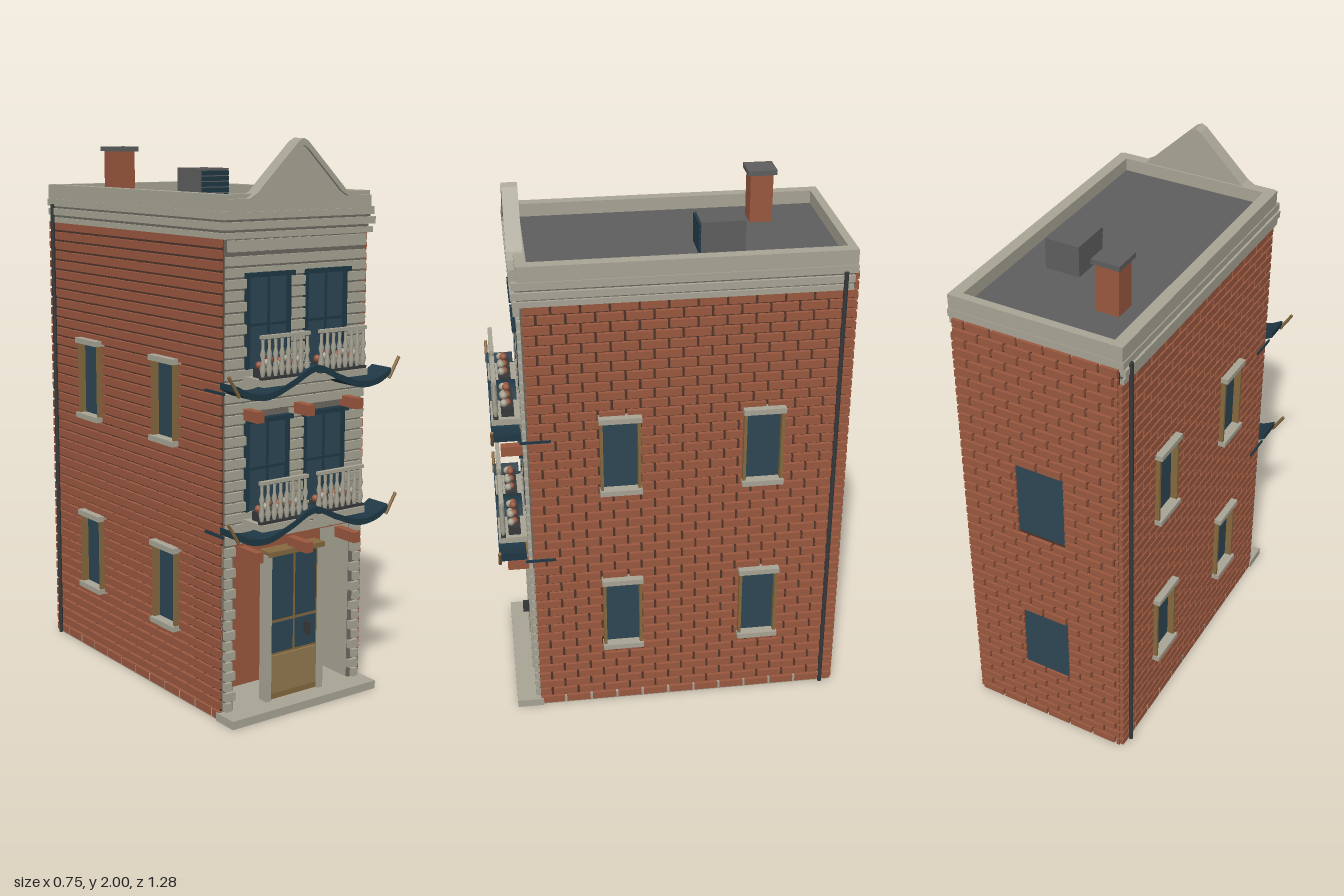
import * as THREE from 'three';
import { mergeGeometries } from 'three/addons/utils/BufferGeometryUtils.js';

const mat = (name, color, extra = {}) => Object.assign(new THREE.MeshStandardMaterial({ color, ...extra }), { name });

export function createModel() {
  const M = {
    brick: mat('brick red', 0x9a583f),
    mortar: mat('dark mortar', 0x4e342a),
    stone: mat('pale stone', 0xa8a495),
    joint: mat('stone joint', 0x6b685f),
    roof: mat('roof grey', 0x5e5e5e),
    navy: mat('navy cloth', 0x1f3845, { side: THREE.DoubleSide }),
    glass: mat('window glass', 0x2d4654),
    wood: mat('wood', 0x86693f),
    panel: mat('light wood', 0x92794f),
    iron: mat('dark iron', 0x36383a),
  };
  const root = new THREE.Group();
  root.name = 'townhouse';

  const boxGeo = (x0, x1, y0, y1, z0, z1) =>
    new THREE.BoxGeometry(x1 - x0, y1 - y0, z1 - z0).translate((x0 + x1) / 2, (y0 + y1) / 2, (z0 + z1) / 2);
  const add = (name, m, geo, parent = root) => {
    const mesh = new THREE.Mesh(geo, m);
    mesh.name = name;
    parent.add(mesh);
    return mesh;
  };
  const box = (name, m, x0, x1, y0, y1, z0, z1, parent) => add(name, m, boxGeo(x0, x1, y0, y1, z0, z1), parent);
  const group = (name) => {
    const g = new THREE.Group();
    g.name = name;
    root.add(g);
    return g;
  };

  // Running-bond bricks facing +z, leaving out holes [u0, u1, v0, v1]
  function bricks(u0, u1, v0, v1, row, len, gap, depth, holes) {
    const out = [];
    const rows = Math.round((v1 - v0) / row), h = (v1 - v0) / rows;
    for (let r = 0; r < rows; r++) {
      const y = v0 + r * h, mid = y + h / 2;
      for (let u = u0 - (r % 2) * len / 2; u < u1; u += len) {
        let spans = [[Math.max(u, u0), Math.min(u + len - gap, u1)]];
        for (const [a, b, c, d] of holes) {
          if (mid < c || mid > d) continue;
          spans = spans.flatMap(([s, e]) => [[s, Math.min(e, a)], [Math.max(s, b), e]]);
        }
        for (const [s, e] of spans) if (e - s > 0.004) out.push(boxGeo(s, e, y + gap / 2, y + h - gap / 2, 0, depth));
      }
    }
    return mergeGeometries(out);
  }

  // Core of the house, with a recessed porch at street level
  box('upperCore', M.mortar, -0.306, 0.306, 0.63, 1.72, -0.626, 0.505);
  box('lowerCore', M.mortar, -0.306, 0.306, 0.02, 0.63, -0.626, 0.34);
  box('porchBackWall', M.brick, -0.264, 0.264, 0.03, 0.63, 0.34, 0.347);
  box('porchCeiling', M.brick, -0.264, 0.264, 0.622, 0.63, 0.34, 0.505);
  box('baseSlab', M.stone, -0.318, 0.318, 0, 0.03, -0.626, 0.515);
  box('frontStep', M.stone, -0.325, 0.325, 0, 0.03, 0.5, 0.6);
  for (const s of [-1, 1]) {
    const x = s * 0.285;
    box('porchSideWall', M.stone, x - 0.022, x + 0.022, 0.03, 0.63, 0.34, 0.505);
    box('porchWallBacking', M.mortar, s * 0.3055 - 0.003, s * 0.3055 + 0.003, 0.02, 0.63, 0.34, 0.505);
  }

  // Brick side and back walls
  const sideZ = [0.188, -0.325], sideY = [[0.265, 0.56], [0.945, 1.24]];
  for (const s of [-1, 1]) {
    const holes = sideZ.flatMap((z) => sideY.map(([a, b]) => [-s * z - 0.072, -s * z + 0.072, a, b]));
    const [a, b] = s > 0 ? [-0.51, 0.632] : [-0.632, 0.51];
    const wall = add('sideBricks', M.brick, bricks(a, b, 0, 1.68, 0.0375, 0.1, 0.009, 0.014, holes));
    wall.rotation.y = s * Math.PI / 2;
    wall.position.x = s * 0.306;
  }
  const backY = [[0.26, 0.54], [0.92, 1.21]];
  const back = add('backBricks', M.brick,
    bricks(-0.306, 0.306, 0, 1.74, 0.0375, 0.1, 0.009, 0.014, backY.map(([a, b]) => [-0.095, 0.095, a, b])));
  back.rotation.y = Math.PI;
  back.position.z = -0.626;
  for (const [a, b] of backY) box('backWindow', M.glass, -0.095, 0.095, a, b, -0.632, -0.626);

  // Side windows with wooden jambs, stone sill and lintel
  for (const s of [-1, 1]) for (const z of sideZ) for (const [a, b] of sideY) {
    const g = group('sideWindow');
    const part = (n, m, out, y0, y1, z0, z1) => {
      const xs = [s * 0.3, s * out].sort((p, q) => p - q);
      box(n, m, xs[0], xs[1], y0, y1, z + z0, z + z1, g);
    };
    part('glass', M.glass, 0.31, a, b, -0.066, 0.066);
    part('jamb', M.wood, 0.336, a, b, -0.073, -0.062);
    part('jamb', M.wood, 0.336, a, b, 0.062, 0.073);
    part('sill', M.stone, 0.347, a - 0.008, a + 0.012, -0.076, 0.076);
    part('lintel', M.stone, 0.347, b - 0.012, b + 0.008, -0.076, 0.076);
  }

  // Stone front
  const frontHoles = [[0.755, 1.07], [1.24, 1.56]].flatMap(([a, b]) =>
    [-0.125, 0.125].map((x) => [x - 0.095, x + 0.095, a, b]));
  box('frontBacking', M.joint, -0.3, 0.3, 0.63, 1.69, 0.5, 0.515);
  const front = add('frontStones', M.stone, bricks(-0.302, 0.302, 0.63, 1.62, 0.038, 0.078, 0.008, 0.013, frontHoles));
  front.position.z = 0.515;
  for (const s of [-1, 1]) {
    const x = s * 0.283;
    box('pierBacking', M.joint, x - 0.018, x + 0.018, 0.03, 0.63, 0.5, 0.515);
    const stones = [];
    for (let i = 0; i < 16; i++) {
      const w = i % 2 ? 0.02 : 0.013, y = 0.032 + i * 0.0374;
      stones.push(boxGeo(s * 0.302 - s * w - w, s * 0.302 - s * w + w, y, y + 0.031, 0.51, 0.528));
    }
    add('pierStones', M.stone, mergeGeometries(stones));
  }

  // Door in a stone surround
  const door = group('door');
  box('doorLeaf', M.wood, -0.108, 0.108, 0.03, 0.57, 0.5, 0.52, door);
  box('lowerPanel', M.panel, -0.1, 0.1, 0.055, 0.195, 0.52, 0.528, door);
  for (const s of [-1, 1]) {
    for (const [a, b] of [[0.205, 0.315], [0.327, 0.56]])
      box('doorGlass', M.glass, s * 0.052 - 0.046, s * 0.052 + 0.046, a, b, 0.52, 0.525, door);
    box('doorPost', M.stone, s * 0.118 - 0.011, s * 0.118 + 0.011, 0.03, 0.57, 0.49, 0.532, door);
  }
  box('doorLintel', M.wood, -0.125, 0.125, 0.565, 0.583, 0.48, 0.54, door);
  box('doorHandle', M.iron, 0.043, 0.052, 0.25, 0.3, 0.52, 0.555, door);

  // Front windows, balconies, swags and beams on two floors
  const baluster = new THREE.LatheGeometry([[0.006, 0], [0.011, 0.025], [0.005, 0.055], [0.01, 0.075],
    [0.005, 0.095], [0.006, 0.125]].map(([x, y]) => new THREE.Vector2(x, y)), 8);
  const swagCurve = new THREE.CatmullRomCurve3([[-0.335, 0.04], [-0.28, 0.012], [-0.2, 0.005], [-0.1, 0.04], [0, 0.08],
    [0.1, 0.04], [0.2, 0.005], [0.28, 0.012], [0.335, 0.04]].map(([x, y]) => new THREE.Vector3(x, y, 0)));
  const swagPts = swagCurve.getPoints(48);
  const swagShape = new THREE.Shape([...swagPts.map((p) => new THREE.Vector2(p.x, p.y - 0.012)),
    ...swagPts.slice().reverse().map((p) => new THREE.Vector2(p.x, p.y + 0.01))]);
  const swagGeo = new THREE.ExtrudeGeometry(swagShape, { depth: 0.1, bevelEnabled: false });

  for (const y of [0.66, 1.155]) {
    const g = group('upperFloorFront');
    g.position.y = y;
    for (const x of [-0.125, 0.125]) {
      box('windowGlass', M.glass, x - 0.085, x + 0.085, 0.08, 0.395, 0.513, 0.519, g);
      for (const dx of [-0.087, 0, 0.087]) {
        const w = dx ? 0.008 : 0.003;
        box('windowFrame', M.navy, x + dx - w, x + dx + w, 0.08, 0.395, 0.513, 0.526, g);
      }
      box('windowBar', M.navy, x - 0.085, x + 0.085, 0.225, 0.234, 0.513, 0.525, g);
      box('windowHood', M.navy, x - 0.1, x + 0.1, 0.39, 0.406, 0.513, 0.542, g);
      box('balconyDeck', M.stone, x - 0.103, x + 0.103, 0.035, 0.058, 0.515, 0.632, g);
      box('balconyRim', M.iron, x - 0.103, x + 0.103, 0.058, 0.068, 0.606, 0.624, g);
      box('topRail', M.stone, x - 0.103, x + 0.103, 0.195, 0.207, 0.607, 0.623, g);
      box('planter', M.iron, x - 0.085, x + 0.085, 0.058, 0.09, 0.55, 0.595, g);
      for (let i = 0; i < 8; i++) {
        const b = add('baluster', M.stone, baluster, g);
        b.position.set(x - 0.094 + i * 0.0269, 0.068, 0.615);
        const f = add('flower', i % 2 ? M.stone : M.brick, new THREE.SphereGeometry(0.014, 8, 6), g);
        f.position.set(x - 0.075 + i * 0.0214, 0.1 + (i % 3) * 0.008, 0.572 + (i % 2) * 0.012);
      }
    }
    const swag = add('clothSwag', M.navy, swagGeo, g);
    swag.position.z = 0.535;
    for (const s of [-1, 1]) {
      const pole = add('swagPole', M.wood, new THREE.CylinderGeometry(0.006, 0.006, 0.085, 8), g);
      pole.position.set(s * 0.35, 0.05, 0.633);
      pole.rotation.z = -s * 0.55;
      box('swagTie', M.navy, s * 0.322 - 0.003, s * 0.322 + 0.003, 0.005, 0.014, 0.43, 0.54, g);
    }
  }
  for (const y of [0.578, 1.065]) for (const x of [-0.218, 0, 0.218])
    box('beamEnd', M.brick, x - 0.015, x + 0.015, y, y + 0.038, 0.5, 0.605);

  // Cornice, dentils and parapet
  for (let i = 0; i < 15; i++) {
    const x = -0.28 + i * 0.04;
    box('dentil', M.stone, x - 0.013, x + 0.013, 1.632, 1.67, 0.51, 0.538);
  }
  box('corniceLower', M.stone, -0.321, 0.321, 1.675, 1.695, -0.62, 0.54);
  box('corniceGroove', M.joint, -0.312, 0.312, 1.69, 1.71, -0.62, 0.525);
  box('corniceUpper', M.stone, -0.328, 0.328, 1.705, 1.73, -0.62, 0.545);
  box('corniceNeck', M.joint, -0.316, 0.316, 1.73, 1.74, -0.62, 0.53);
  box('parapetFoot', M.stone, -0.325, 0.325, 1.738, 1.765, -0.632, 0.54);
  for (const s of [-1, 1])
    box('parapetSide', M.stone, s * 0.3 - 0.021, s * 0.3 + 0.021, 1.76, 1.82, -0.63, 0.52);
  box('parapetBack', M.stone, -0.32, 0.32, 1.76, 1.82, -0.63, -0.6);
  box('parapetFront', M.stone, -0.31, 0.31, 1.76, 1.82, 0.485, 0.525);
  box('roofDeck', M.roof, -0.28, 0.28, 1.76, 1.772, -0.602, 0.487);

  // Pointed front gable with raised rim
  const gableHalf = [[0.305, 1.755], [0.305, 1.805], [0.225, 1.805], [0.19, 1.825], [0.165, 1.85], [0.02, 1.99], [0, 2]];
  const outline = (k) => [...gableHalf.map(([x, y]) => [x, y]), ...gableHalf.slice(0, -1).reverse().map(([x, y]) => [-x, y])]
    .map(([x, y]) => new THREE.Vector2(x * k, 1.755 + (y - 1.755) * k));
  const rim = new THREE.Shape(outline(1));
  rim.holes.push(new THREE.Path(outline(0.88).map((p) => p.setY(p.y + 0.006)).reverse()));
  const extrude = (shape, depth) => new THREE.ExtrudeGeometry(shape, { depth, bevelEnabled: false });
  add('gable', M.stone, extrude(new THREE.Shape(outline(1)), 0.045)).position.z = 0.492;
  add('gableRim', M.stone, extrude(rim, 0.01)).position.z = 0.537;

  // Chimney and roof hatch
  box('chimney', M.brick, -0.192, -0.108, 1.765, 1.95, -0.42, -0.338);
  box('chimneyCap', M.roof, -0.202, -0.098, 1.948, 1.966, -0.432, -0.327);
  box('roofHatch', M.roof, 0.042, 0.172, 1.765, 1.886, -0.27, -0.115);
  for (let i = 0; i < 5; i++) box('hatchLouver', M.navy, 0.046, 0.168, 1.776 + i * 0.021, 1.793 + i * 0.021, -0.115, -0.107);

  // Drainpipes
  for (const s of [-1, 1]) {
    const pipe = add('drainpipe', M.iron, new THREE.CylinderGeometry(0.008, 0.008, 1.74, 10));
    pipe.position.set(s * 0.329, 0.875, -0.588);
  }
  return root;
}
